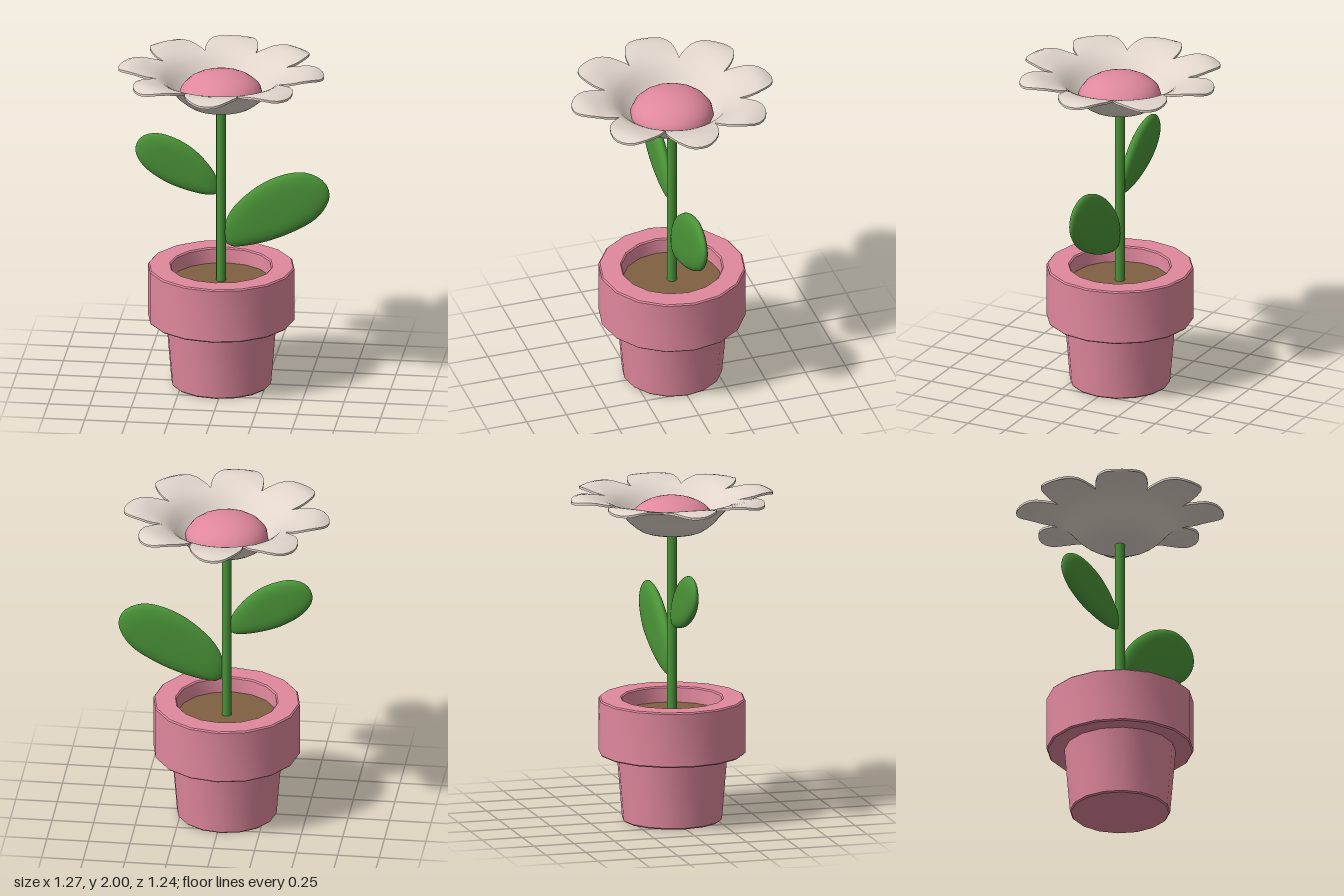
import * as THREE from 'three';
import { toCreasedNormals } from 'three/addons/utils/BufferGeometryUtils.js';

const mat = (name, color) => {
  const m = new THREE.MeshStandardMaterial({ color });
  m.name = name;
  return m;
};
const v2 = ([x, y]) => new THREE.Vector2(x, y);

// Closed or open grid of points: rows of equal length, each row wraps round
function loft(rows, wind = false) {
  const n = rows[0].length, index = [];
  for (let j = 0; j < rows.length - 1; j++) {
    for (let i = 0; i < n; i++) {
      const a = j * n + i, b = j * n + (i + 1) % n, c = a + n, d = b + n;
      if (wind) index.push(a, c, b, b, c, d);
      else index.push(a, b, c, b, d, c);
    }
  }
  const g = new THREE.BufferGeometry();
  g.setAttribute('position', new THREE.Float32BufferAttribute(rows.flat(2), 3));
  g.setIndex(index);
  g.computeVertexNormals();
  return g;
}

// Bowl-shaped blossom whose rim divides into eight rounded petals
function blossomGeometry() {
  const petals = 8, half = Math.PI / petals, thick = 0.014;
  const profile = new THREE.SplineCurve([[0.165, 1.762], [0.2, 1.777], [0.26, 1.825],
    [0.33, 1.905], [0.39, 1.945], [0.45, 1.968], [0.52, 1.984], [0.58, 1.98], [0.62, 1.962]].map(v2)).getPoints(80);
  const height = r => {
    if (r <= 0.165) return 1.762;
    const k = profile.findIndex(p => p.x >= r);
    if (k < 1) return k === 0 ? profile[0].y : 1.962;
    const a = profile[k - 1], b = profile[k];
    return a.y + (b.y - a.y) * (r - a.x) / (b.x - a.x);
  };
  const rays = [];
  for (let p = 0; p < petals; p++) {
    for (let i = 0; i < 20; i++) {
      const t = Math.sin((i / 20 - 0.5) * Math.PI);
      rays.push({ t, angle: (2 * p + t) * half + 0.026,
        reach: 0.4 + 0.22 * Math.pow(Math.max(0, 1 - Math.pow(Math.abs(t), 2.2)), 0.9) });
    }
  }
  const radii = [0.001, 0.165, 0.19, 0.22, 0.26, 0.3, 0.34, 0.37];
  const ring = (k, lift) => rays.map(({ t, angle, reach }) => {
    const r = k < radii.length ? radii[k] : 0.37 + (reach - 0.37) * (k - radii.length + 1) / 8;
    const droop = 0.016 * t * t * THREE.MathUtils.smoothstep(r, 0.4, 0.5);
    return [r * Math.cos(angle), height(r) - droop + lift, r * Math.sin(angle)];
  });
  const rows = [], last = radii.length + 7;
  for (let k = 0; k <= last; k++) rows.push(ring(k, thick));
  for (let k = last; k >= 0; k--) rows.push(ring(k, 0));
  return toCreasedNormals(loft(rows), 0.9);
}

// Puffy leaf: an outline shrunk toward its middle while it swells in z
function leafGeometry(outline, depth) {
  const curve = new THREE.CatmullRomCurve3(outline.map(([x, y]) => new THREE.Vector3(x, y, 0)), true);
  const edge = curve.getSpacedPoints(48).slice(0, 48);
  const mid = edge.reduce((s, p) => s.add(p), new THREE.Vector3()).divideScalar(48);
  const rows = [], steps = 20;
  for (let j = 0; j <= steps; j++) {
    const a = (j / steps) * Math.PI;
    const s = Math.max(0.001, Math.pow(Math.sin(a), 0.7));
    const z = depth * Math.sign(Math.cos(a)) * Math.sqrt(Math.max(0, 1 - s ** 4));
    rows.push(edge.map(p => [mid.x + (p.x - mid.x) * s, mid.y + (p.y - mid.y) * s, z]));
  }
  const area = THREE.ShapeUtils.area(edge);
  return loft(rows, area > 0);
}

export function createModel() {
  const group = new THREE.Group();
  const pink = mat('pink', 0xe0889d), cream = mat('cream', 0xe2d6cc);
  const green = mat('green', 0x4a9438), brown = mat('soil brown', 0x806042);
  const add = (name, geometry, material, x = 0, y = 0) => {
    const mesh = new THREE.Mesh(geometry, material);
    mesh.name = name;
    mesh.position.set(x, y, 0);
    group.add(mesh);
    return mesh;
  };
  const cx = -0.02;

  // Pot with a thick rim and a hollow top
  const pot = new THREE.LatheGeometry([[0, 0], [0.292, 0], [0.3, 0.008], [0.333, 0.408], [0.432, 0.408],
    [0.44, 0.416], [0.44, 0.737], [0.432, 0.745], [0.31, 0.745], [0.302, 0.737], [0.295, 0.63]].map(v2), 16);
  add('pot', toCreasedNormals(pot, 0.6), pink, cx);
  add('soil', new THREE.CylinderGeometry(0.299, 0.299, 0.04, 16), brown, cx, 0.63);

  // Stem
  add('stem', new THREE.CylinderGeometry(0.03, 0.03, 1.14, 16), green, cx, 1.2);

  // Leaves
  add('leftLeaf', leafGeometry([[-0.003, 0.99], [0.06, 1.125], [0.27, 1.3], [0.48, 1.355], [0.6, 1.3],
    [0.632, 1.21], [0.565, 1.08], [0.38, 0.96], [0.17, 0.885], [0.035, 0.87], [0.003, 0.9]], 0.04), green);
  add('rightLeaf', leafGeometry([[-0.045, 1.2], [-0.042, 1.285], [-0.125, 1.415], [-0.257, 1.52], [-0.415, 1.567],
    [-0.505, 1.535], [-0.537, 1.455], [-0.495, 1.365], [-0.36, 1.265], [-0.2, 1.207], [-0.087, 1.19]], 0.036), green);

  // Blossom and its domed centre
  add('petals', blossomGeometry(), cream, cx);
  const dome = add('flowerCentre', new THREE.SphereGeometry(0.25, 16, 12, 0, Math.PI * 2, 0, Math.PI / 2), pink, cx, 1.83);
  dome.scale.y = 0.58;

  return group;
}
